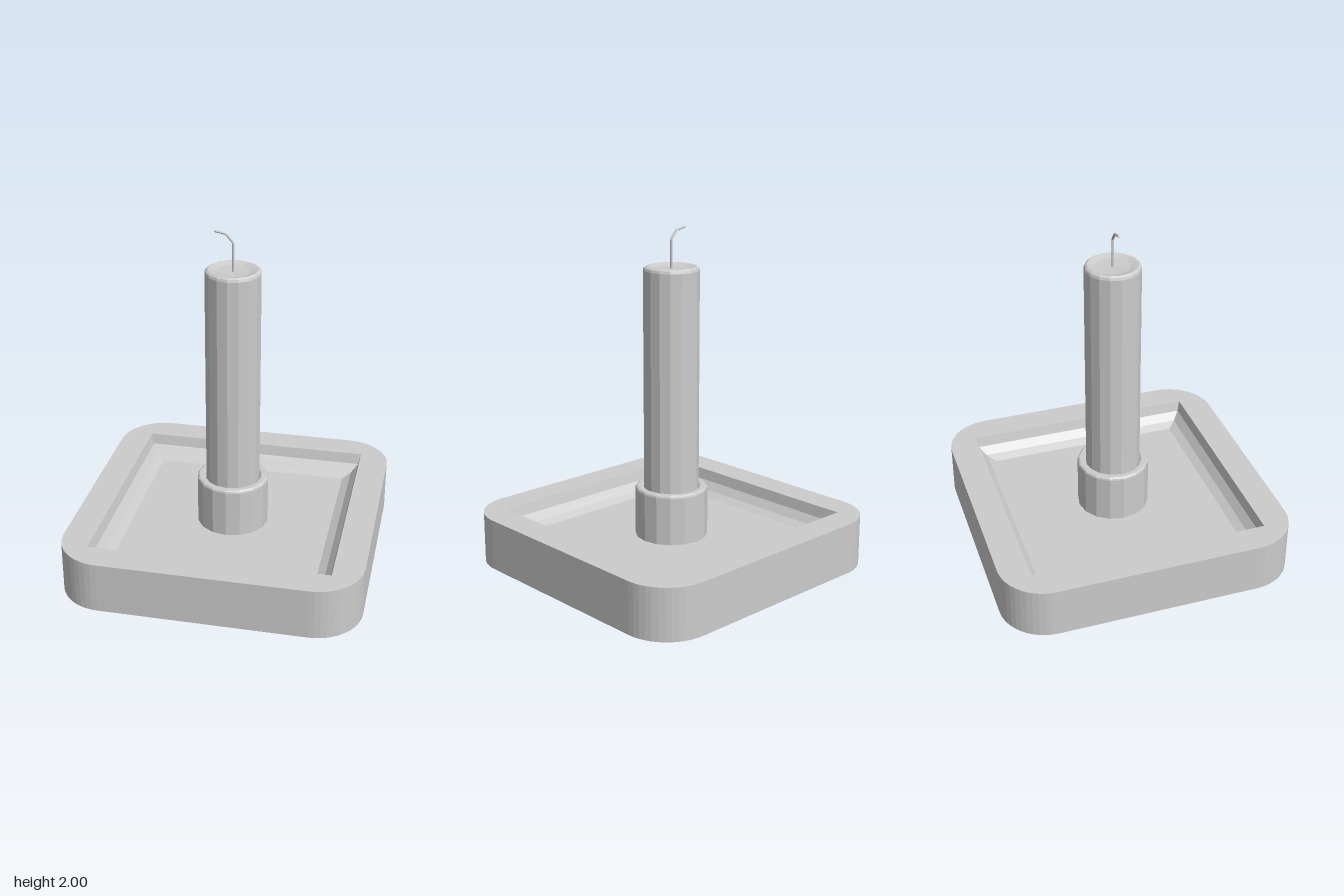
import * as THREE from 'three';

const material = new THREE.MeshStandardMaterial({ color: 0xcccccc, flatShading: true });

function addPart(group, name, geometry) {
  const mesh = new THREE.Mesh(geometry, material);
  mesh.name = name;
  group.add(mesh);
  return mesh;
}

const lathe = (points, sides) =>
  new THREE.LatheGeometry(points.map(([r, y]) => new THREE.Vector2(r, y)), sides);

// Square outline with rounded corners
function roundedSquare(half, r) {
  const c = half - r;
  const shape = new THREE.Shape();
  [[c, c], [-c, c], [-c, -c], [c, -c]].forEach(([x, y], i) => {
    shape.absarc(x, y, r, i * Math.PI / 2, (i + 1) * Math.PI / 2, false);
  });
  shape.closePath();
  return shape;
}

export function createModel() {
  const group = new THREE.Group();
  group.name = 'candleHolder';

  const baseTop = 0.305, floorY = 0.17, inner = 0.7;

  // Thick tray rim with a square opening
  const outline = roundedSquare(0.875, 0.275);
  outline.holes.push(new THREE.Path([
    [-inner, -inner], [-inner, inner], [inner, inner], [inner, -inner],
  ].map(([x, y]) => new THREE.Vector2(x, y))));
  const rim = new THREE.ExtrudeGeometry(outline, { depth: baseTop, bevelEnabled: false, curveSegments: 6 });
  addPart(group, 'trayRim', rim.rotateX(-Math.PI / 2));

  // Underside plug closing the opening
  addPart(group, 'trayUnderside', new THREE.BoxGeometry(2 * inner, 0.1, 2 * inner).translate(0, 0.05, 0));

  // Coved recess and floor: a four-sided lathe turned square to the tray
  const cove = [[inner, baseTop], [0.685, 0.24], [0.645, 0.195], [0.595, floorY], [0, floorY]]
    .map(([d, y]) => [d * Math.SQRT2, y]);
  addPart(group, 'trayRecess', lathe(cove, 4).rotateY(Math.PI / 4));

  // Socket cup with a softened lip
  addPart(group, 'socket', lathe([
    [0.215, floorY], [0.215, 0.455], [0.212, 0.465], [0.203, 0.472],
    [0.175, 0.472], [0.166, 0.465], [0.163, 0.45], [0.163, 0.4],
  ], 16));

  // Candle with rounded shoulder and slightly dished top
  addPart(group, 'candle', lathe([
    [0, 0.3], [0.162, 0.3], [0.162, 1.758], [0.157, 1.772], [0.145, 1.78],
    [0.135, 1.778], [0.1, 1.768], [0, 1.765],
  ], 16));

  // Bent wick
  const path = new THREE.CurvePath();
  const bends = [[0, 1.75], [0, 1.935], [-0.04, 1.981], [-0.1, 1.993]]
    .map(([x, y]) => new THREE.Vector3(x, y, 0));
  for (let i = 1; i < bends.length; i++) path.add(new THREE.LineCurve3(bends[i - 1], bends[i]));
  addPart(group, 'wick', new THREE.TubeGeometry(path, 24, 0.007, 8, false));
  // Burnt end cap of the wick
  const tip = addPart(group, 'wickTip', new THREE.SphereGeometry(0.007, 8, 6));
  tip.position.copy(bends[3]);

  return group;
}
